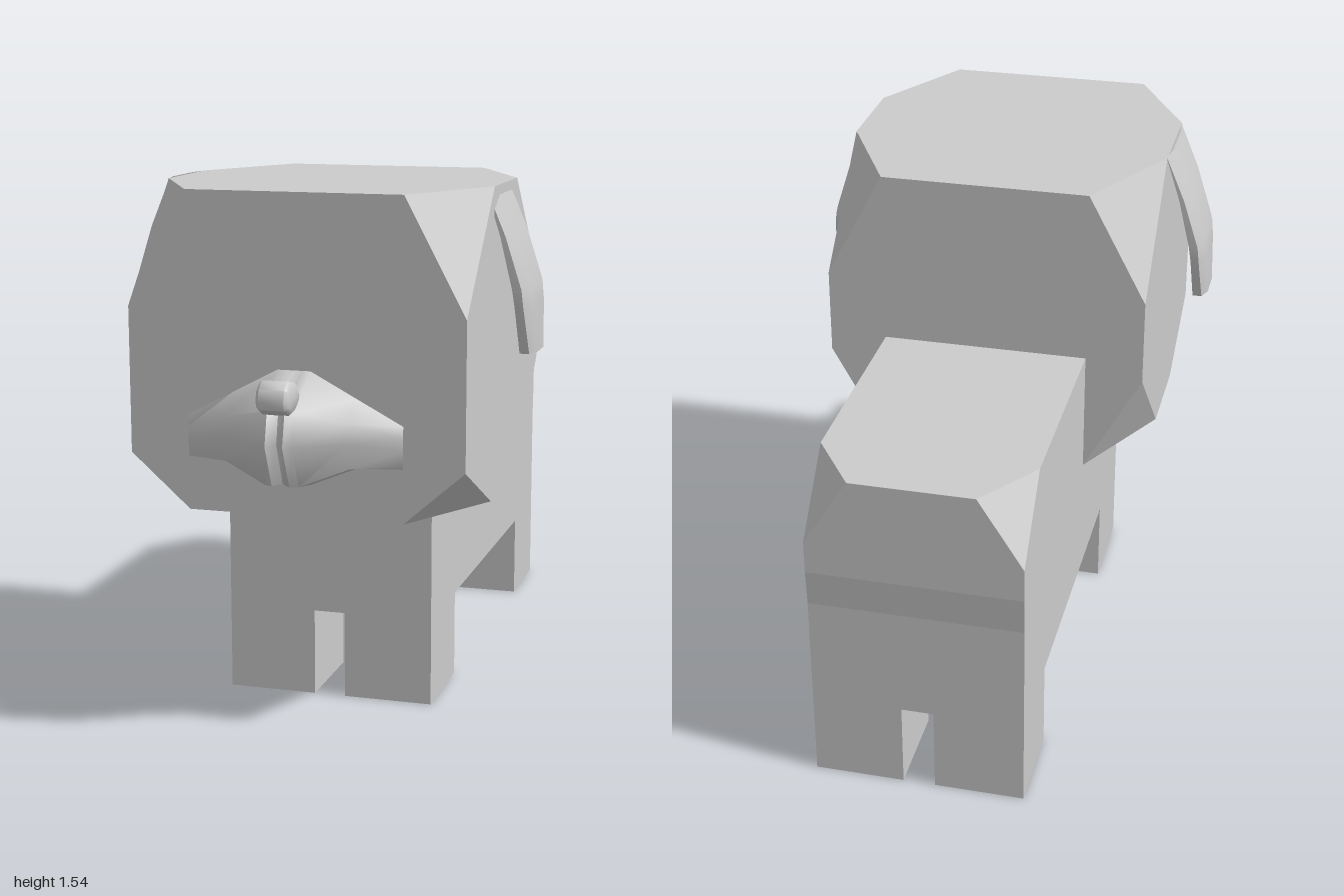
import * as THREE from 'three';
import { ConvexGeometry } from 'three/addons/geometries/ConvexGeometry.js';
import { toCreasedNormals } from 'three/addons/utils/BufferGeometryUtils.js';

const grey = new THREE.MeshStandardMaterial({ color: 0xcccccc });
const greyDouble = new THREE.MeshStandardMaterial({ color: 0xcccccc, side: THREE.DoubleSide });

function addMesh(parent, name, geometry, material = grey) {
  const mesh = new THREE.Mesh(geometry, material);
  mesh.name = name;
  parent.add(mesh);
  return mesh;
}

// Box given by its two extreme corners
function boxBetween(x0, x1, y0, y1, z0, z1) {
  return new THREE.BoxGeometry(x1 - x0, y1 - y0, z1 - z0)
    .translate((x0 + x1) / 2, (y0 + y1) / 2, (z0 + z1) / 2);
}

// Convex solid from points repeated on both sides of x = 0
function mirroredHull(points) {
  const all = [];
  for (const [x, y, z] of points) {
    for (const s of [-1, 1]) all.push(new THREE.Vector3(s * x, y, z));
  }
  return new ConvexGeometry(all);
}

// Skin joining rows of points; closed rows wrap round
function loft(rows, closed, crease) {
  const n = rows[0].length;
  const index = [];
  for (let i = 0; i < rows.length - 1; i++) {
    for (let j = 0; j < (closed ? n : n - 1); j++) {
      const k = (j + 1) % n;
      const a = i * n + j, b = i * n + k, c = a + n, d = b + n;
      index.push(a, b, c, b, d, c);
    }
  }
  const g = new THREE.BufferGeometry();
  g.setAttribute('position', new THREE.Float32BufferAttribute(rows.flat(2), 3));
  g.setIndex(index);
  return toCreasedNormals(g, crease);
}

// Cube head with every corner cut off
function headGeometry() {
  const W = 0.4875, w = 0.3125;
  const points = [];
  for (const [y, zFace, zCut, yCut] of [
    [1.54, 0.8, 0.48, 1.21], [1.54, -0.155, 0.18, 1.21],
    [0.635, 0.8, 0.48, 0.79], [0.635, -0.155, 0.18, 0.95],
  ]) {
    points.push([w, y, zFace], [W, y, zCut], [W, yCut, zFace]);
  }
  return mirroredHull(points);
}

// Muzzle: vertical profiles swept across the face, with a crease in the middle
function muzzleGeometry() {
  const profile = [[1, 0], [0.72, 0.88], [0.44, 1], [0.06, 0.68], [0, 0]];
  const half = [ // x, top, bottom, depth
    [0.3125, 0.91, 0.79, 0.004], [0.18, 0.98, 0.785, 0.09],
    [0.048, 1.05, 0.73, 0.165], [0.025, 1.05, 0.73, 0.18],
  ];
  const columns = [
    ...half.map(([x, ...rest]) => [-x, ...rest]),
    [0, 1.05, 0.735, 0.155],
    ...half.slice().reverse(),
  ];
  const rows = columns.map(([x, top, bottom, depth]) =>
    profile.map(([v, d]) => [x, bottom + v * (top - bottom), 0.8 + d * depth]));
  return loft(rows, false, 0.9);
}

// Nose: small eight-sided bar with softened ends
function noseGeometry() {
  const outline = [[0.96, 1.05], [0.905, 1.037], [0.88, 1.0], [0.9, 0.965],
    [0.955, 0.955], [0.995, 0.975], [1.0, 1.0], [0.99, 1.03]];
  const rows = [[-0.047, 0], [-0.047, 0.75], [-0.036, 1], [0.036, 1], [0.047, 0.75], [0.047, 0]]
    .map(([x, s]) => outline.map(([z, y]) => [x, 1 + (y - 1) * s, 0.94 + (z - 0.94) * s]));
  return loft(rows, true, 0.9);
}

// Hanging ear: thin bowed flap, tapering at its lower end
function earGeometry() {
  const rows = [ // y, inner x, outer x, half width
    [1.54, 0.482, 0.488, 0.147], [1.4, 0.527, 0.547, 0.147],
    [1.25, 0.563, 0.595, 0.147], [1.2, 0.57, 0.6, 0.143], [1.06, 0.575, 0.608, 0.088],
  ].map(([y, xi, xo, w]) => [
    [xi - 0.01, y, -w], [xo - 0.015, y, -w], [xo, y, -w * 0.55], [xo, y, w * 0.55],
    [xo - 0.015, y, w], [xi - 0.01, y, w], [xi, y, w * 0.55], [xi, y, -w * 0.55],
  ]);
  rows.push(rows[4].map(() => [0.59, 1.058, 0])); // closes the tip
  return loft(rows, true, 0.8);
}

export function createModel() {
  const model = new THREE.Group();
  model.name = 'dog';
  const H = 0.3125;

  // Body: upper block with cut rear corners, on a plain lower block
  addMesh(model, 'upperBody', mirroredHull([
    [H, 0.59, 0.48], [H, 1.01, 0.48], [H, 0.59, -0.992], [H, 0.7, -1],
    [H, 0.8, -1], [H, 1.01, -0.81], [0.18, 1.01, -1],
  ]));
  addMesh(model, 'lowerBody', boxBetween(-H, H, 0.26, 0.59, -0.992, 0.48));

  // Legs
  for (const [side, x0, x1] of [['Right', -H, -0.0475], ['Left', 0.0475, H]]) {
    addMesh(model, 'front' + side + 'Leg', boxBetween(x0, x1, 0, 0.26, 0.185, 0.48));
    addMesh(model, 'back' + side + 'Leg', boxBetween(x0, x1, 0, 0.26, -0.992, -0.71));
  }

  // Head and face
  const head = new THREE.Group();
  head.name = 'headGroup';
  model.add(head);
  addMesh(head, 'head', headGeometry());
  addMesh(head, 'muzzle', muzzleGeometry(), greyDouble);
  addMesh(head, 'nose', noseGeometry(), greyDouble);

  // Ears
  for (const [name, turn] of [['leftEar', 0], ['rightEar', Math.PI]]) {
    const ear = addMesh(head, name, earGeometry(), greyDouble);
    ear.position.z = 0.332;
    ear.rotation.y = turn;
  }

  // The body sits a little to its left; the ears reach equally to both sides
  for (const part of model.children) part.position.x = 0.0125;
  for (const ear of head.children.filter((p) => p.name.endsWith('Ear'))) ear.position.x = -0.0125;
  return model;
}
